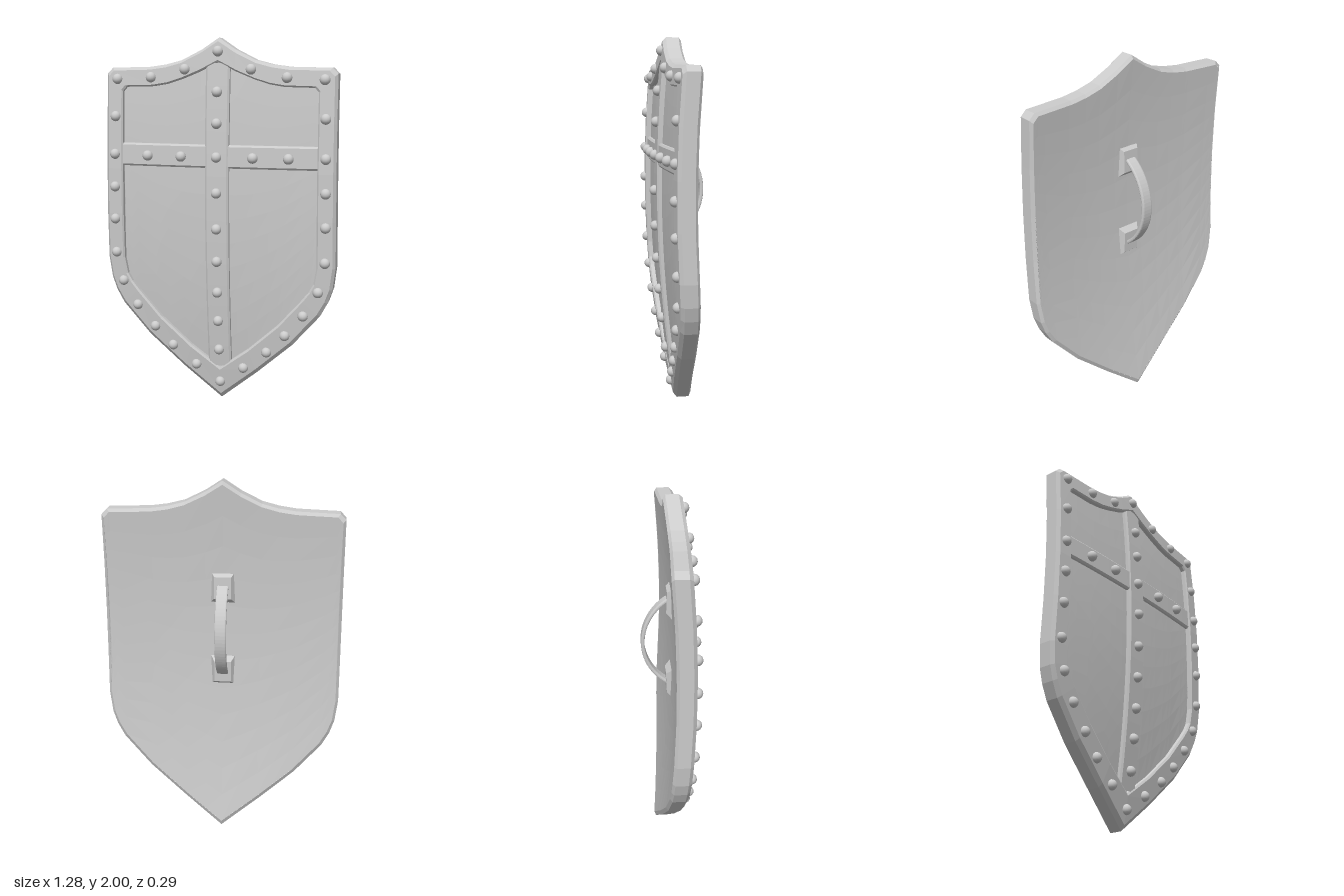
import * as THREE from 'three';

const flat = new THREE.MeshStandardMaterial({ color: 0xcccccc, flatShading: true });
const smooth = new THREE.MeshStandardMaterial({ color: 0xcccccc });

// Half outlines from top peak to bottom tip: outer x, outer y, inner x, inner y
const half = [
  [0, 2, 0, 1.875], [0.09, 1.94, 0.1, 1.825], [0.2, 1.885, 0.2, 1.785], [0.29, 1.862, 0.28, 1.76],
  [0.38, 1.85, 0.36, 1.747], [0.6, 1.845, 0.515, 1.743], [0.63, 1.815, 0.535, 1.72],
  [0.632, 1.56, 0.536, 1.56], [0.635, 1.3, 0.537, 1.3], [0.638, 1.05, 0.539, 1.05],
  [0.64, 0.8, 0.54, 0.8], [0.625, 0.68, 0.525, 0.71], [0.6, 0.605, 0.5, 0.665],
  [0.56, 0.53, 0.46, 0.615], [0.41, 0.355, 0.33, 0.465], [0.21, 0.175, 0.16, 0.31], [0, 0, 0, 0.19],
];
const WIDEST = 10;
const lerp = THREE.MathUtils.lerp;

// Point on the bowed shield, raised by "off" above its back surface
const bend = (x, y, off) => [x, y, 0.025 - 0.073 * (y - 1.2) ** 2 - 0.06 * x * x + off];

// Half outline a fraction t of the way from the outer to the inner edge
const halfRing = (t) => half.map(([ox, oy, ix, iy]) => [lerp(ox, ix, t), lerp(oy, iy, t)]);

// Skin rows of points; faces look along (row direction) x (point direction)
function skin(rows) {
  const n = rows[0].length, index = [];
  for (let r = 0; r < rows.length - 1; r++) {
    for (let i = 0; i < n - 1; i++) {
      const a = r * n + i, d = a + n;
      index.push(a, d, d + 1, a, d + 1, a + 1);
    }
  }
  const g = new THREE.BufferGeometry();
  g.setAttribute('position', new THREE.Float32BufferAttribute(rows.flat(2), 3));
  g.setIndex(index);
  g.computeVertexNormals();
  return g;
}

function yAt(line, x) {
  for (let i = 1; i < line.length; i++) {
    const [x0, y0] = line[i - 1], [x1, y1] = line[i];
    if (x <= x1) return lerp(y0, y1, (x - x0) / (x1 - x0));
  }
  return line[line.length - 1][1];
}

// Curved sheet filling the outline, made of vertical columns
function sheet(t, off, back) {
  const pts = halfRing(t);
  const top = pts.slice(0, WIDEST + 1), bottom = pts.slice(WIDEST).reverse();
  const xs = [...new Set(pts.map((p) => p[0]))].sort((a, b) => a - b);
  const all = [...xs.slice(1).reverse().map((x) => -x), ...xs];
  return skin(all.map((x) => {
    const lo = yAt(bottom, Math.abs(x)), hi = yAt(top, Math.abs(x));
    const col = Array.from({ length: 13 }, (_, i) => bend(x, lerp(lo, hi, i / 12), off));
    return back ? col.reverse() : col;
  }));
}

// Closed loop around the shield
function ring(t, off) {
  const pts = halfRing(t);
  const mirrored = pts.slice(0, -1).reverse().map(([x, y]) => [-x, y]);
  return [...pts, ...mirrored].map(([x, y]) => bend(x, y, off));
}

// Raised band with chamfered edges, running along x or y
function strap(from, to, centre, halfWidth, height, alongY) {
  const section = [[-halfWidth, 0.06], [-halfWidth, height - 0.008],
    [-halfWidth + 0.01, height], [halfWidth - 0.01, height],
    [halfWidth, height - 0.008], [halfWidth, 0.06]];
  const rows = [];
  for (let i = 0; i <= 14; i++) {
    const s = lerp(from, to, i / 14);
    rows.push(section.map(([w, off]) => (alongY ? bend(centre - w, s, off) : bend(s, centre + w, off))));
  }
  return skin(rows);
}

export function createModel() {
  const group = new THREE.Group();
  const add = (name, geometry, material = flat) => {
    const mesh = new THREE.Mesh(geometry, material);
    mesh.name = name;
    group.add(mesh);
    return mesh;
  };

  // Shield body
  add('backPanel', sheet(0.15, 0, true));
  add('frontPanel', sheet(1, 0.07, false));
  const rim = [[0.15, 0], [0, 0.015], [0, 0.083], [0.15, 0.1], [0.92, 0.1], [1, 0.092], [1, 0.068]];
  add('border', skin(rim.map(([t, off]) => ring(t, off))));

  // Cross straps
  add('verticalStrap', strap(0.2, 1.87, 0, 0.065, 0.095, true));
  add('horizontalStrap', strap(-0.545, 0.545, 1.38, 0.062, 0.09, false));

  // Rivets
  const rivetGeometry = new THREE.SphereGeometry(0.028, 14, 10);
  const rivet = (x, y) => add('rivet', rivetGeometry, smooth).position.set(...bend(x, y, 0.1));
  const sideRivets = [[0.565, 1.785], [0.37, 1.795], [0.18, 1.837], [0.575, 1.585], [0.58, 1.38],
    [0.583, 1.2], [0.586, 1.02], [0.585, 0.83], [0.55, 0.667], [0.47, 0.53], [0.37, 0.41],
    [0.268, 0.305], [0.135, 0.2], [0.387, 1.377], [0.197, 1.377]];
  for (const [x, y] of sideRivets) {
    rivet(x, y);
    rivet(-x, y);
  }
  for (const y of [1.93, 1.72, 1.555, 1.377, 1.185, 0.99, 0.81, 0.635, 0.47, 0.3, 0.105]) rivet(0, y);

  // Bowed grip on the back
  const arc = 1.1, bow = new THREE.Shape();
  bow.absarc(0, 0, 0.298, -arc, arc, false);
  bow.absarc(0, 0, 0.292, arc, -arc, true);
  const gripGeometry = new THREE.ExtrudeGeometry(bow, {
    depth: 0.046, bevelThickness: 0.008, bevelSize: 0.007, bevelSegments: 2, curveSegments: 16,
  });
  gripGeometry.translate(-0.165, 0, -0.023).rotateY(Math.PI / 2);
  add('grip', gripGeometry).position.y = 1.19;

  // Tapered grip plates
  const plateGeometry = new THREE.CylinderGeometry(0.7 * Math.SQRT1_2, Math.SQRT1_2, 0.03, 4);
  plateGeometry.rotateY(Math.PI / 4).rotateX(-Math.PI / 2).scale(0.13, 0.17, 1);
  for (const side of [-1, 1]) {
    const y = 1.19 + side * 0.24;
    const plate = add('gripPlate', plateGeometry);
    plate.position.set(0, y, bend(0, y, -0.01)[2]);
    plate.rotation.x = 0.146 * (y - 1.2);
  }
  return group;
}
